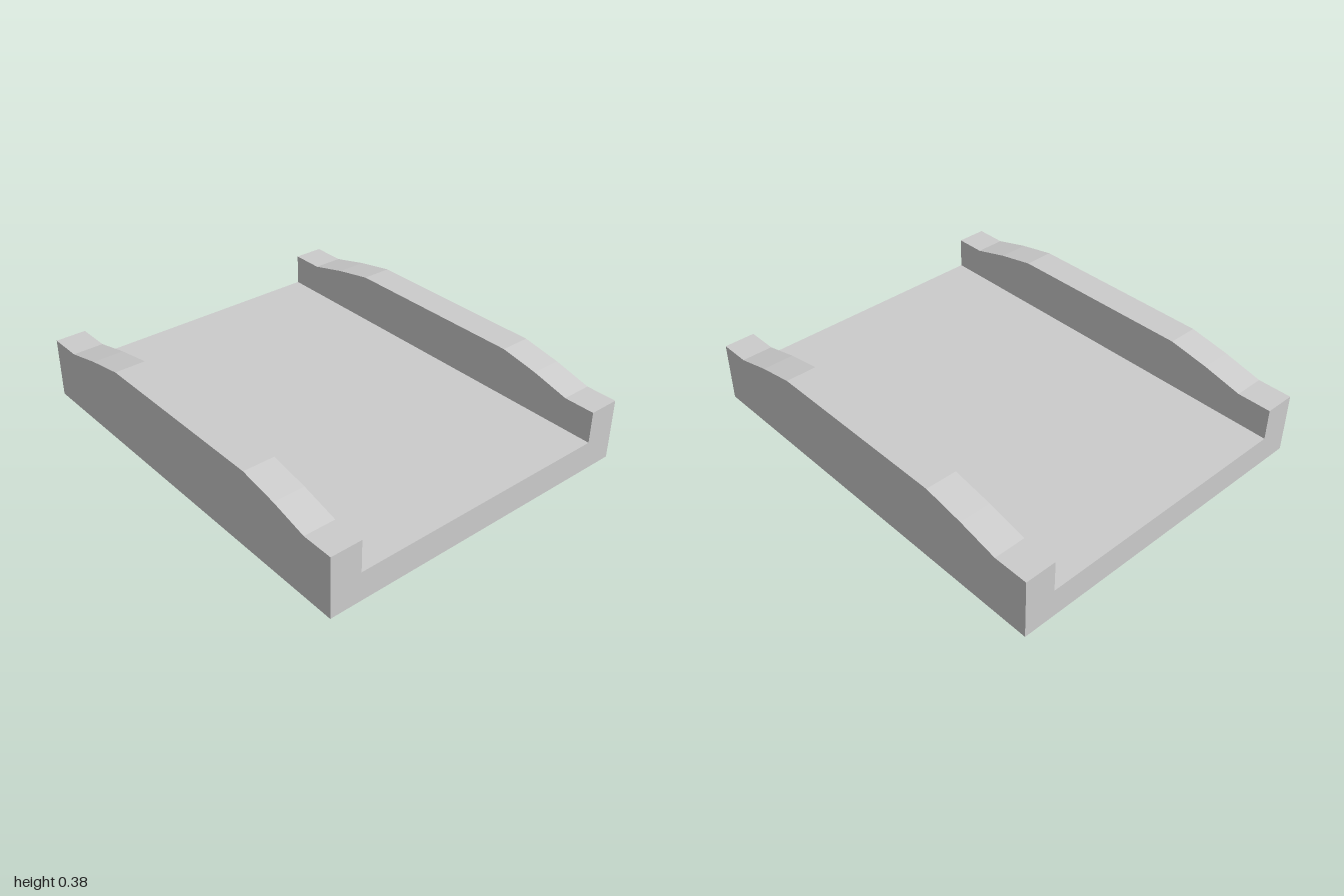
import * as THREE from 'three';

const HALF_WIDTH = 0.797, INNER = 0.648, DECK_HEIGHT = 0.14;

export function createModel() {
  const group = new THREE.Group();
  const material = new THREE.MeshStandardMaterial({ color: 0xcccccc, flatShading: true });

  // Flat deck between the side walls
  const deck = new THREE.Mesh(new THREE.BoxGeometry(INNER * 2, DECK_HEIGHT, 2), material);
  deck.name = 'deck';
  deck.position.y = DECK_HEIGHT / 2;
  group.add(deck);

  // Side wall outline as (z, y): low ends rising in two slopes to a flat top
  const outline = [
    [-1, 0], [1, 0], [1, 0.293], [0.85, 0.293], [0.67, 0.34], [0.485, 0.375],
    [-0.45, 0.375], [-0.645, 0.339], [-0.835, 0.293], [-1, 0.293],
  ];
  const shape = new THREE.Shape(outline.map(([z, y]) => new THREE.Vector2(z, y)));
  const thickness = HALF_WIDTH - INNER;
  const wallGeometry = new THREE.ExtrudeGeometry(shape, { depth: thickness, bevelEnabled: false });
  wallGeometry.translate(0, 0, -thickness / 2).rotateY(-Math.PI / 2);

  for (const side of [1, -1]) {
    const wall = new THREE.Mesh(wallGeometry, material);
    wall.name = side > 0 ? 'leftWall' : 'rightWall';
    wall.position.x = side * (INNER + thickness / 2);
    group.add(wall);
  }
  return group;
}
